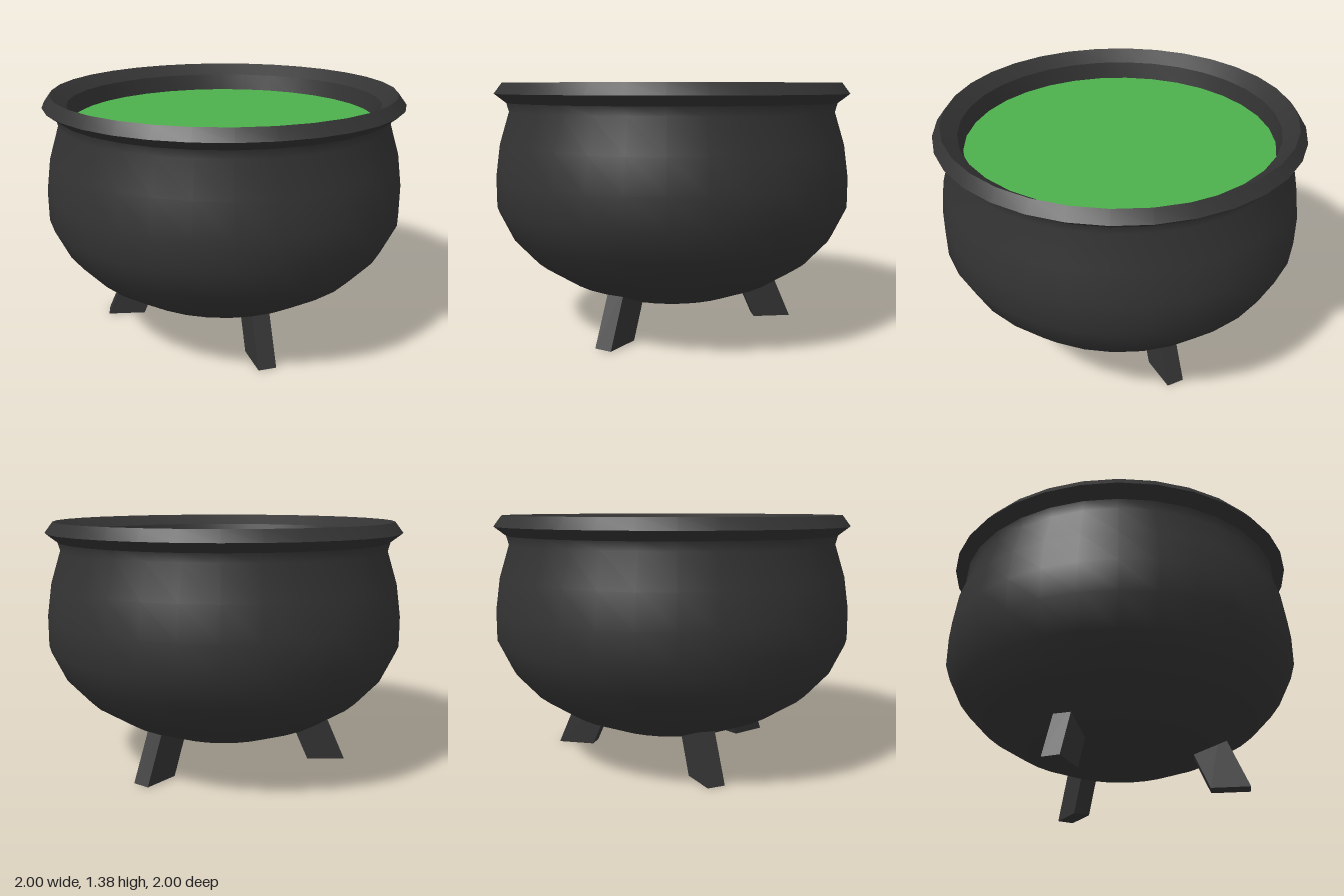
import * as THREE from 'three';
import { toCreasedNormals } from 'three/addons/utils/BufferGeometryUtils.js';

const SIDES = 32;
const iron = new THREE.MeshStandardMaterial({ color: 0x333333 });
const green = new THREE.MeshStandardMaterial({ color: 0x4caf4c });

function lathe(points) {
  return new THREE.LatheGeometry(points.map(([r, y]) => new THREE.Vector2(r, y)), SIDES);
}

function addMesh(parent, name, geometry, material) {
  const mesh = new THREE.Mesh(geometry, material);
  mesh.name = name;
  parent.add(mesh);
  return mesh;
}

// Slab leg standing on y = 0 whose top leans inward (-x) into the bowl
function legGeometry(length, width, height, lean) {
  const geometry = new THREE.BoxGeometry(length, height, width).translate(0, height / 2, 0);
  const p = geometry.attributes.position;
  for (let i = 0; i < p.count; i++) p.setX(i, p.getX(i) - lean * p.getY(i));
  geometry.computeVertexNormals();
  return geometry;
}

export function createModel() {
  const group = new THREE.Group();
  group.name = 'cauldron';

  // Rounded bowl, smooth all over
  addMesh(group, 'bowl', lathe([
    [0, 0.165], [0.2, 0.167], [0.4, 0.187], [0.6, 0.265], [0.79, 0.385], [0.92, 0.525],
    [1, 0.69], [1, 0.86], [0.975, 1.04], [0.92, 1.22], [0.935, 1.275],
  ]), iron);

  // Flared rim with hard edges, turning down inside to the liquid
  addMesh(group, 'rim', toCreasedNormals(lathe([
    [0.925, 1.27], [0.935, 1.27], [1, 1.32], [0.955, 1.38], [0.87, 1.32], [0.845, 1.2],
  ]), 0.6), iron);

  // Liquid surface
  const liquid = new THREE.CircleGeometry(0.848, SIDES).rotateX(-Math.PI / 2);
  addMesh(group, 'liquid', liquid, green).position.y = 1.225;

  // Three splayed legs: foot centre x, z and outward heading in degrees
  const legs = [
    ['leftLeg', 0.53, 0.29, 30],
    ['rightLeg', -0.47, 0.375, 133],
    ['backLeg', -0.067, -0.59, 262],
  ];
  const shape = legGeometry(0.215, 0.1, 0.34, 0.43);
  for (const [name, x, z, heading] of legs) {
    const leg = addMesh(group, name, shape, iron);
    leg.position.set(x, 0, z);
    leg.rotation.y = -THREE.MathUtils.degToRad(heading);
  }
  return group;
}
